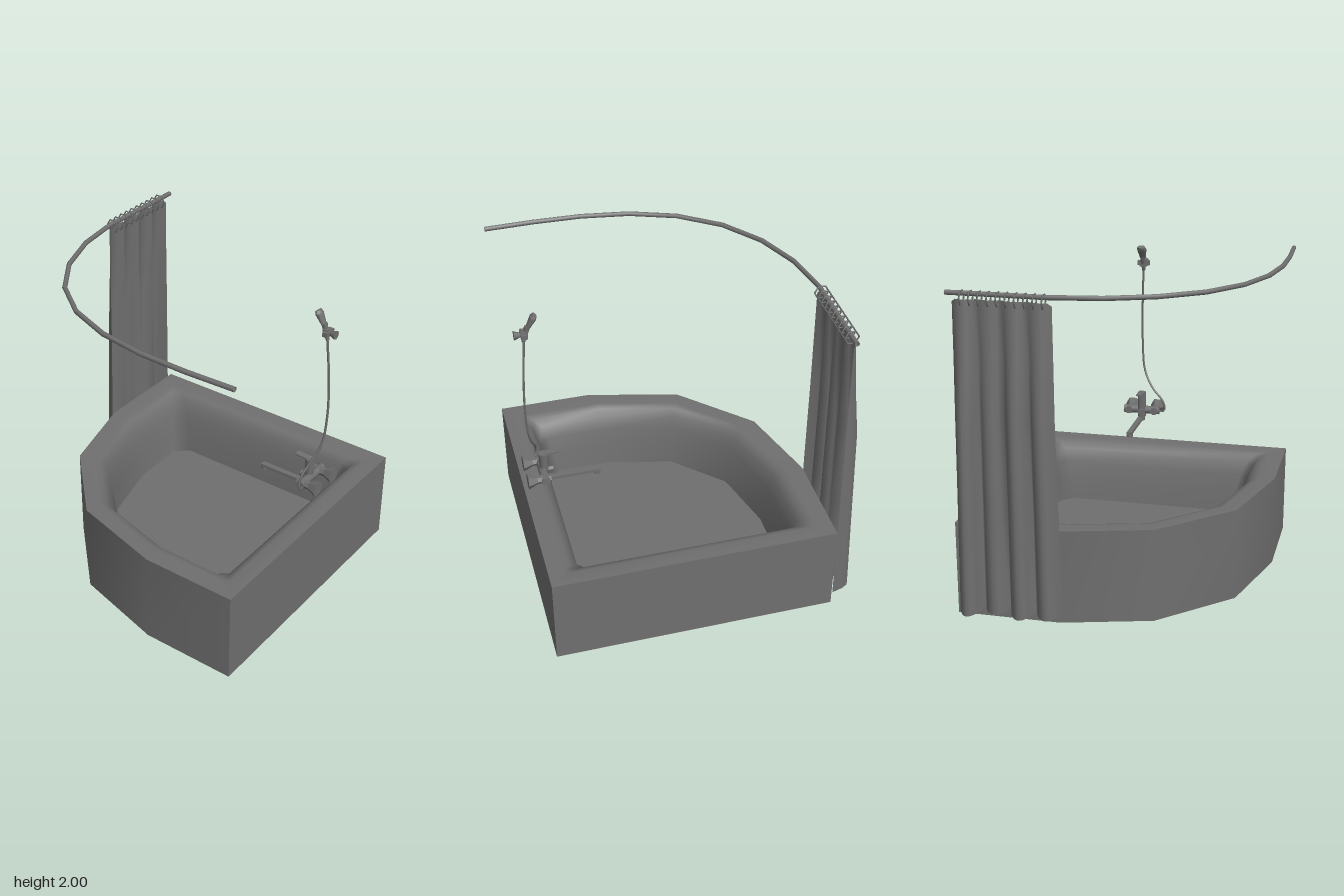
import * as THREE from 'three';
import { toCreasedNormals } from 'three/addons/utils/BufferGeometryUtils.js';

const material = new THREE.MeshStandardMaterial({ color: 0x6f6f6f, side: THREE.DoubleSide });

function mesh(name, geometry, parent) {
  const m = new THREE.Mesh(geometry, material);
  m.name = name;
  parent.add(m);
  return m;
}

// Surface through rows of [x, y, z] points
function grid(rows, closed) {
  const n = rows[0].length, index = [];
  for (let i = 0; i < rows.length - 1; i++) {
    for (let j = 0; j < (closed ? n : n - 1); j++) {
      const k = (j + 1) % n;
      const a = i * n + j, b = i * n + k, c = (i + 1) * n + k, d = (i + 1) * n + j;
      index.push(a, d, b, b, d, c);
    }
  }
  const g = new THREE.BufferGeometry();
  g.setAttribute('position', new THREE.Float32BufferAttribute(rows.flat(2), 3));
  g.setIndex(index);
  g.computeVertexNormals();
  return g;
}

// Tapered cylinder between two points
function rod(name, from, to, r0, r1, sides, parent) {
  const a = new THREE.Vector3(...from), b = new THREE.Vector3(...to);
  const dir = b.clone().sub(a);
  const g = new THREE.CylinderGeometry(r1, r0, dir.length(), sides);
  const m = mesh(name, toCreasedNormals(g, 0.9), parent);
  m.position.copy(a).add(b).multiplyScalar(0.5);
  m.quaternion.setFromUnitVectors(new THREE.Vector3(0, 1, 0), dir.normalize());
  return m;
}

function box(name, size, pos, parent) {
  const m = mesh(name, new THREE.BoxGeometry(...size), parent);
  m.position.set(...pos);
  return m;
}

function tube(name, points, segments, r, sides, parent) {
  const curve = new THREE.CatmullRomCurve3(points.map(p => new THREE.Vector3(...p)));
  return mesh(name, new THREE.TubeGeometry(curve, segments, r, sides), parent);
}

function buildBathtub() {
  const tub = new THREE.Group();
  tub.name = 'bathtub';
  const top = 0.59, floorY = 0.19;
  // Outer outline, and the floor outline with chamfered corners
  const A = [-0.81, -0.89], B = [0.953, -0.89], C = [0.953, 0.87];
  const curve = [[0.35, 0.87], [-0.24, 0.715], [-0.66, 0.29], [-0.81, -0.25]];
  const outer = [A, B, C, ...curve];
  const rim = [A, A, B, B, C, C, ...curve];
  const floor = [[-0.55, -0.58], [-0.47, -0.66], [0.63, -0.66], [0.71, -0.58], [0.71, 0.53],
    [0.63, 0.60], [0.28, 0.60], [-0.14, 0.49], [-0.44, 0.19], [-0.55, -0.23]];

  const wall = grid([0, top].map(y => outer.map(([x, z]) => [x, y, z])), true);
  mesh('outerWall', toCreasedNormals(wall, 0.6), tub);

  // Flat rim rolling over into steep basin sides
  const profile = [[0, top], [0.4, top], [0.57, 0.577], [0.72, 0.535], [0.83, 0.45], [0.92, 0.33], [1, floorY]];
  mesh('rimAndBasin', grid(profile.map(([t, y]) => rim.map(([x, z], j) =>
    [x + (floor[j][0] - x) * t, y, z + (floor[j][1] - z) * t])), true), tub);

  const shape = new THREE.Shape(floor.map(([x, z]) => new THREE.Vector2(x, -z)));
  const base = mesh('basinFloor', new THREE.ShapeGeometry(shape).rotateX(-Math.PI / 2), tub);
  base.position.y = floorY;
  return tub;
}

function buildCurtain() {
  const g = new THREE.Group();
  g.name = 'showerCurtain';
  // Faceted rail following the curved side of the tub
  tube('curtainRail', [[-0.81, -0.89], [-0.81, -0.55], [-0.81, -0.23], [-0.77, 0], [-0.66, 0.29], [-0.48, 0.54],
    [-0.24, 0.72], [0.05, 0.83], [0.35, 0.875], [0.63, 0.882], [0.953, 0.872]]
    .map(([x, z]) => [x, 1.985, z]), 10, 0.015, 8, g);

  // Hexagonal rings along the straight part of the rail
  for (let i = 0; i < 10; i++) {
    const ring = mesh('curtainRing', new THREE.TorusGeometry(0.043, 0.005, 6, 6), g);
    ring.position.set(-0.82, 1.962, -0.31 - i * 0.0533);
  }

  // Pleated sheet: height, inner x, fold depth, first and last z
  const levels = [[1.955, -0.812, 0.03, -0.265, -0.85], [1.6, -0.814, 0.062, -0.262, -0.853],
    [1.27, -0.816, 0.098, -0.26, -0.858], [0.66, -0.82, 0.113, -0.245, -0.865], [0.05, -0.825, 0.128, -0.235, -0.87]];
  const lobes = [0.73, 0.9, 0.62, 1.02], steps = 6, n = lobes.length * steps;
  const rows = levels.map(([y, x, depth, z0, z1], r) => {
    const row = [];
    for (let i = 0; i <= n; i++) {
      const lobe = lobes[Math.min(3, Math.floor(i / steps))];
      const fold = Math.sin((i % steps) / steps * Math.PI) ** 0.75 * lobe;
      const edge = r === 0 && (i === 0 || i === n) ? -0.02 : 0;
      const hem = r === levels.length - 1 ? 0.012 * (1 - fold) : 0;
      row.push([x - depth * fold, y + edge + hem, z0 + (z1 - z0) * i / n]);
    }
    return row;
  });
  mesh('curtainSheet', grid(rows, false), g);
  return g;
}

function buildFaucet() {
  const g = new THREE.Group();
  g.name = 'bathFaucet';
  const z = -0.12;
  rod('mixerColumn', [0.835, 0.79, z], [0.835, 0.962, z], 0.027, 0.03, 10, g);
  rod('spoutSocket', [0.835, 0.763, z], [0.835, 0.80, z], 0.021, 0.021, 10, g);
  box('spout', [0.36, 0.02, 0.034], [0.67, 0.773, z - 0.01], g);
  rod('spoutNozzle', [0.508, 0.775, z - 0.01], [0.508, 0.748, z - 0.01], 0.02, 0.022, 8, g);
  const lever = box('mixerLever', [0.12, 0.012, 0.04], [0.80, 0.962, z], g);
  lever.rotation.z = -0.06;
  rod('mixerBar', [0.845, 0.835, 0.0], [0.845, 0.835, -0.245], 0.028, 0.028, 8, g);
  rod('diverterKnob', [0.84, 0.835, z], [0.78, 0.835, z], 0.016, 0.02, 8, g);
  // Inlets flaring to hexagonal wall plates
  for (const s of [-1, 1]) {
    const iz = z + s * 0.088;
    rod('inletNut', [0.81, 0.835, iz], [0.90, 0.835, iz], 0.027, 0.027, 6, g);
    rod('wallPlate', [0.89, 0.835, iz], [0.953, 0.835, iz], 0.025, 0.052, 6, g);
  }
  return g;
}

function buildHandShower() {
  const g = new THREE.Group();
  g.name = 'handShower';
  const z = -0.125;
  // Slim handle widening sideways into a flat head
  rod('showerHandle', [0.90, 1.80, z], [0.872, 1.90, z], 0.011, 0.019, 8, g);
  rod('showerNeck', [0.872, 1.89, z], [0.836, 1.955, z], 0.02, 0.033, 8, g).scale.x = 0.6;
  rod('showerFace', [0.838, 1.952, z], [0.826, 1.97, z], 0.033, 0.026, 8, g).scale.x = 0.6;
  box('holderClamp', [0.035, 0.045, 0.045], [0.892, 1.85, z], g);
  box('holderBar', [0.03, 0.03, 0.08], [0.90, 1.85, z], g);
  rod('holderStem', [0.895, 1.85, z], [0.93, 1.85, z], 0.013, 0.013, 8, g);
  rod('holderWallPlate', [0.92, 1.85, z], [0.953, 1.85, z], 0.015, 0.028, 8, g);
  tube('showerHose', [[0.897, 1.81, -0.125], [0.918, 1.55, -0.135], [0.925, 1.3, -0.135], [0.91, 1.1, -0.115],
    [0.875, 0.98, -0.05], [0.86, 0.91, 0.015], [0.86, 0.85, 0.035], [0.865, 0.825, 0.02],
    [0.85, 0.83, -0.02]], 48, 0.007, 6, g);
  return g;
}

export function createModel() {
  const model = new THREE.Group();
  model.name = 'cornerBath';
  model.add(buildBathtub(), buildCurtain(), buildFaucet(), buildHandShower());
  return model;
}
